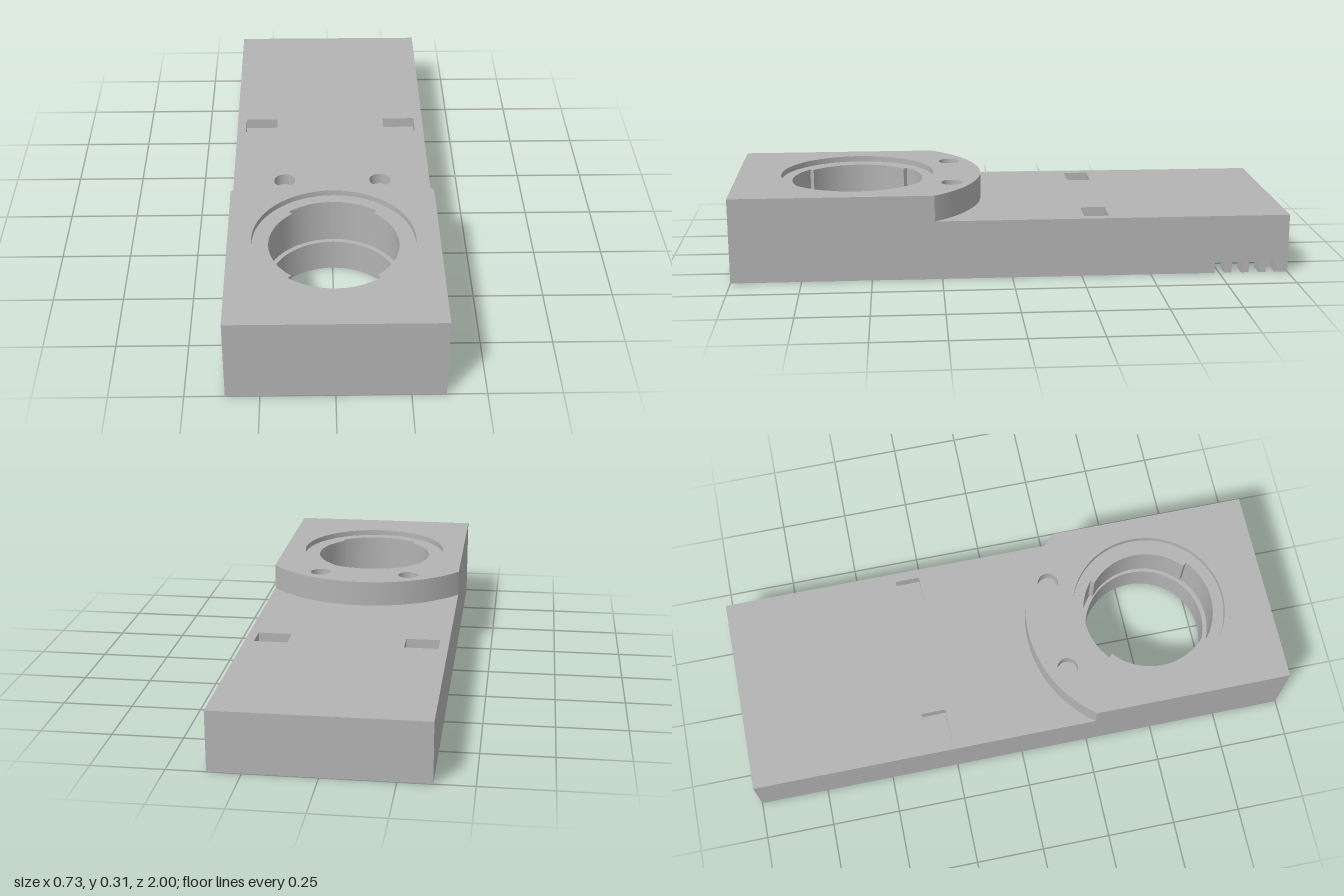
import * as THREE from 'three';
import { toCreasedNormals } from 'three/addons/utils/BufferGeometryUtils.js';

const W = 0.365, L = 1, WALL = 0.06;         // half width, half length, wall thickness
const CZ = 0.555;                            // bore centre along z
const BORE = 0.225, GROOVE = 0.242;
const LOW_TOP = 0.213, TOP = 0.307, CEILING = 0.08;

const polygon = pts => new THREE.Shape(pts.map(([x, z]) => new THREE.Vector2(x, z)));
const rect = (x0, x1, z0, z1) => polygon([[x0, z0], [x1, z0], [x1, z1], [x0, z1]]);

function circle(r, x = 0, z = CZ, Type = THREE.Path) {
  const p = new Type();
  p.absarc(x, z, r, 0, Math.PI * 2, false);
  return p;
}

// bore with two wider entry slots facing front and back
function slottedBore() {
  const p = new THREE.Path();
  const d = Math.PI / 180;
  [[GROOVE, 50, 130], [BORE, 130, 230], [GROOVE, 230, 310], [BORE, 310, 410]]
    .forEach(([r, a, b]) => p.absarc(0, CZ, r, a * d, b * d, false));
  p.closePath();
  return p;
}

// raised pad: straight front and sides, round back edge
function padOutline() {
  const r = 0.46, a = Math.acos(W / r);
  const s = new THREE.Shape();
  s.moveTo(W, L);
  s.lineTo(-W, L);
  s.absarc(0, CZ, r, Math.PI + a, Math.PI * 2 - a, false);
  s.closePath();
  return s;
}

export function createModel() {
  const group = new THREE.Group();
  const grey = new THREE.MeshStandardMaterial({ color: 0xb3b3b3 });
  grey.name = 'grey';

  // extrude a plan shape (x, z) between two heights
  function layer(name, shape, y0, y1, holes = []) {
    shape.holes.push(...holes);
    let geo = new THREE.ExtrudeGeometry(shape, { depth: y1 - y0, bevelEnabled: false, curveSegments: 40 });
    geo.rotateX(Math.PI / 2);
    geo.translate(0, y1, 0);
    geo = toCreasedNormals(geo, 0.5);
    const mesh = new THREE.Mesh(geo, grey);
    mesh.name = name;
    group.add(mesh);
  }

  const plate = () => rect(-W, W, -L, L);
  const ix = W - WALL, iz = L - WALL;

  // hollow skirt, its lower part open at the side vents
  const ventTop = 0.04, ventStart = -0.733, ventEnd = -0.952, pitch = 0.0625, vent = 0.035;
  layer('lowerSkirt', polygon([
    [W, L], [-W, L], [-W, -L], [W, -L], [W, ventEnd], [ix, ventEnd], [ix, -iz],
    [-ix, -iz], [-ix, iz], [ix, iz], [ix, ventStart], [W, ventStart],
  ]), 0, ventTop);
  for (let i = 0; i < 3; i++) {
    const z = ventStart - vent - i * pitch;
    layer('ventTooth', rect(ix, W, z - pitch + vent, z), 0, ventTop);
  }
  layer('upperSkirt', plate(), ventTop, CEILING, [rect(-ix, ix, -iz, iz)]);

  // collar around the bore inside the cavity
  layer('boreCollar', circle(0.287, 0, CZ, THREE.Shape), 0, CEILING, [circle(BORE)]);

  // deck: bottom lip, locking groove, slotted bore, blind pockets
  layer('boreLip', plate(), CEILING, 0.12, [circle(BORE)]);
  layer('lockingGroove', plate(), 0.12, 0.15, [circle(GROOVE)]);
  layer('deckCore', plate(), 0.15, 0.173, [slottedBore()]);
  const pockets = [-1, 1].map(s => rect(s * 0.27 - 0.061, s * 0.27 + 0.061, -0.35, -0.26));
  layer('deckTop', plate(), 0.173, LOW_TOP, [slottedBore(), ...pockets]);

  // raised pad with two blind pin holes and a shallow seat around the bore
  const pins = () => [-1, 1].map(s => circle(0.038, s * 0.172, 0.208));
  layer('padBase', padOutline(), LOW_TOP, 0.265, [slottedBore()]);
  layer('padMiddle', padOutline(), 0.265, 0.286, [slottedBore(), ...pins()]);
  layer('padTop', padOutline(), 0.286, TOP, [circle(0.283), ...pins()]);

  return group;
}
